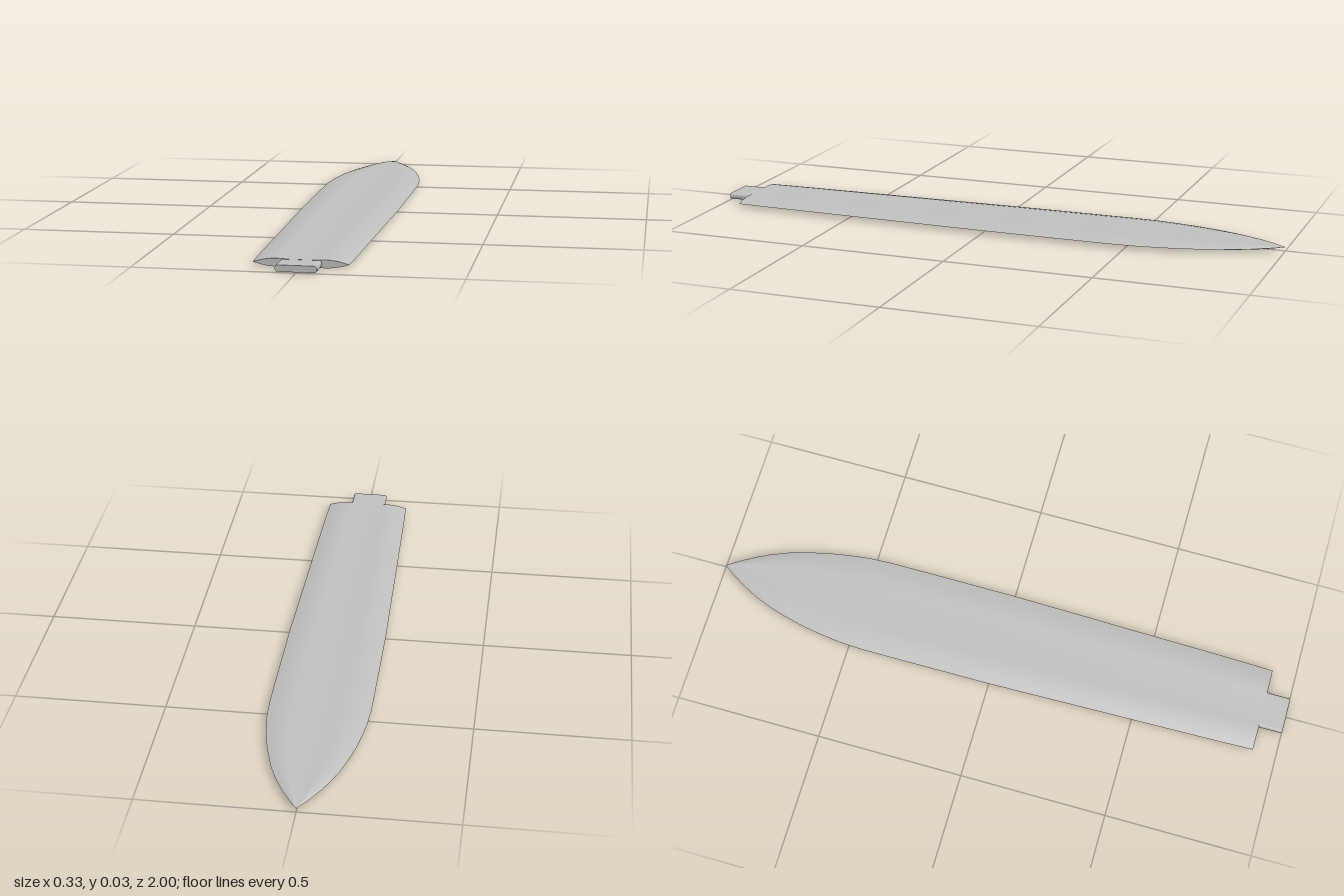
import * as THREE from 'three';

const MID = 0.013; // height of the cutting edges

// Stations along the blade: z, half width, half thickness
const STATIONS = [
  [0.92, 0.146, 0.0128], [0.8, 0.15, 0.0126], [0.4, 0.158, 0.0122], [0, 0.166, 0.0118],
  [-0.25, 0.167, 0.0116], [-0.45, 0.167, 0.0113], [-0.53, 0.163, 0.011], [-0.6, 0.154, 0.0107],
  [-0.67, 0.142, 0.0103], [-0.74, 0.125, 0.0098], [-0.8, 0.107, 0.0092], [-0.86, 0.083, 0.0083],
  [-0.91, 0.058, 0.007], [-0.96, 0.028, 0.0042], [-1, 0.0001, 0],
];

// Half cross-section: fraction of half width, fraction of half thickness
const HALF = [[0, 0.83], [0.25, 0.84], [0.38, 0.95], [0.5, 1], [0.62, 0.94], [0.75, 0.75], [0.88, 0.4], [1, 0]];
const SECTION = [...HALF.slice(1).reverse().map(([x, y]) => [-x, y]), ...HALF];

function geometryFrom(positions, index) {
  const g = new THREE.BufferGeometry();
  g.setAttribute('position', new THREE.Float32BufferAttribute(positions, 3));
  g.setIndex(index);
  g.computeVertexNormals();
  return g;
}

// One broad face of the blade; side is 1 for the top, -1 for the bottom
function bladeFace(side) {
  const positions = [], index = [], n = SECTION.length;
  for (const [z, w, t] of STATIONS)
    for (const [x, y] of SECTION) positions.push(x * w, MID + side * y * t, z);
  for (let i = 0; i < STATIONS.length - 1; i++)
    for (let j = 0; j < n - 1; j++) {
      const a = i * n + j, b = a + 1, c = a + n, d = c + 1;
      if (side > 0) index.push(a, b, d, a, d, c);
      else index.push(a, d, b, a, c, d);
    }
  return geometryFrom(positions, index);
}

// Flat shoulder closing the blade at the tang
function shoulder() {
  const [z, w, t] = STATIONS[0], n = SECTION.length;
  const positions = [], index = [];
  for (const [x, y] of SECTION)
    positions.push(x * w, MID + y * t, z, x * w, MID - y * t, z);
  for (let j = 0; j < n - 1; j++) {
    const a = 2 * j;
    index.push(a, a + 1, a + 3, a, a + 3, a + 2);
  }
  return geometryFrom(positions, index);
}

// Flat tang with rounded sides
function tang() {
  const w = 0.063, h = 0.0102, r = 0.009;
  const s = new THREE.Shape();
  s.moveTo(-w + r, -h);
  s.lineTo(w - r, -h);
  s.quadraticCurveTo(w, -h, w, 0);
  s.quadraticCurveTo(w, h, w - r, h);
  s.lineTo(-w + r, h);
  s.quadraticCurveTo(-w, h, -w, 0);
  s.quadraticCurveTo(-w, -h, -w + r, -h);
  const g = new THREE.ExtrudeGeometry(s, { depth: 0.15, bevelEnabled: false, curveSegments: 6 });
  return g.translate(0, MID, 0.85);
}

export function createModel() {
  const steel = new THREE.MeshStandardMaterial({ color: 0xc0c0c0 });
  steel.name = 'steel';
  const model = new THREE.Group();
  model.name = 'blade';
  const add = (name, geometry) => {
    const mesh = new THREE.Mesh(geometry, steel);
    mesh.name = name;
    model.add(mesh);
  };
  add('bladeTop', bladeFace(1));
  add('bladeBottom', bladeFace(-1));
  add('shoulder', shoulder());
  add('tang', tang());
  return model;
}
